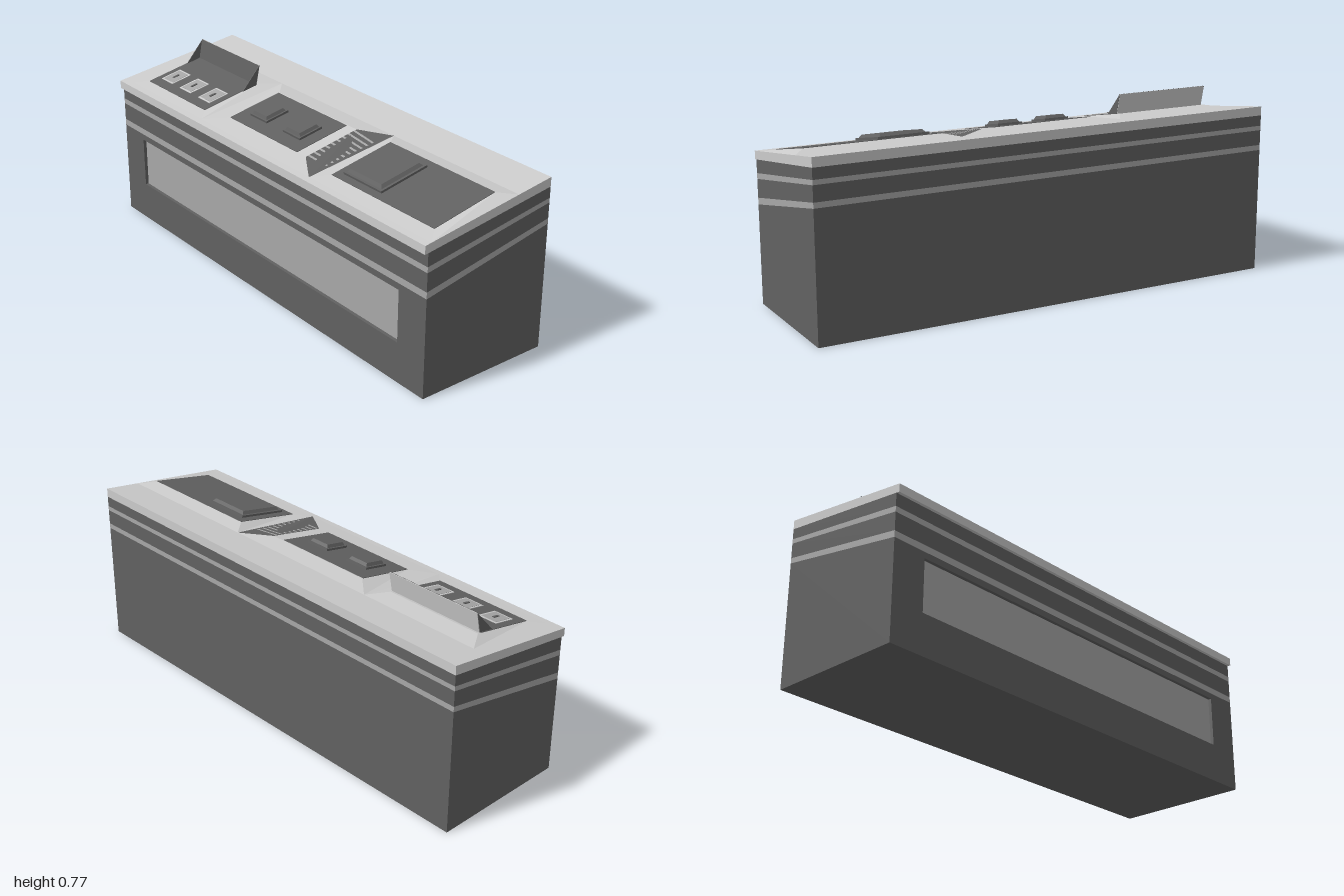
import * as THREE from 'three';

const make = (color) => new THREE.MeshStandardMaterial({ color, flatShading: true, side: THREE.DoubleSide });
const light = make(0xcccccc), mid = make(0xa7a7a7), dark = make(0x616161);

const TILT = Math.atan(0.2);
const slabY = (x) => 0.661 + 0.147 * x; // worktop surface
const deckY = (x) => 0.674 + 0.2 * x;   // steeper surface of the raised decks

function add(parent, name, geometry, material) {
  const mesh = new THREE.Mesh(geometry, material);
  mesh.name = name;
  parent.add(mesh);
  return mesh;
}

// Extrude an x-y outline from z0 to z1
function prism(parent, name, outline, z0, z1, material) {
  const shape = new THREE.Shape(outline.map(([x, y]) => new THREE.Vector2(x, y)));
  const geometry = new THREE.ExtrudeGeometry(shape, { depth: z1 - z0, bevelEnabled: false });
  geometry.translate(0, 0, z0);
  return add(parent, name, geometry, material);
}

// Four corners, anticlockwise from the visible side
function quad(parent, name, corners, material) {
  const geometry = new THREE.BufferGeometry();
  geometry.setAttribute('position', new THREE.Float32BufferAttribute(corners.flat(), 3));
  geometry.setIndex([0, 1, 2, 0, 2, 3]);
  geometry.computeVertexNormals();
  return add(parent, name, geometry, material);
}

// Raised deck: tilted top with skirts running down to the worktop
function deck(parent, name, base, top, frontMaterial = light) {
  const ring = ([x0, x1, z0, z1], h) =>
    [[x0, z1], [x1, z1], [x1, z0], [x0, z0]].map(([x, z]) => [x, h(x), z]);
  const low = ring(base, slabY), high = ring(top, deckY);
  quad(parent, name + 'Top', high, light);
  for (let i = 0; i < 4; i++) {
    const j = (i + 1) % 4;
    quad(parent, name + 'Skirt', [low[i], low[j], high[j], high[i]], i === 0 ? frontMaterial : light);
  }
}

// Box lying on the tilted deck, given by its plan extents and heights
function pad(parent, name, [x0, x1, z0, z1], h0, h1, material) {
  const k = 1 / Math.cos(TILT);
  const geometry = new THREE.BoxGeometry((x1 - x0) * k, h1 - h0, z1 - z0);
  const mesh = add(parent, name, geometry, material);
  mesh.position.set((x0 + x1) / 2 * k, (h0 + h1) / 2, (z0 + z1) / 2);
  return mesh;
}

// Stepped square block with a bevelled upper tier
function steppedBlock(parent, name, [x0, x1, z0, z1], inset) {
  pad(parent, name + 'Base', [x0, x1, z0, z1], 0, 0.011, dark);
  const upper = pad(parent, name + 'Top',
    [x0 + inset / 2, x1 - inset / 2, z0 + inset / 2, z1 - inset / 2], 0.011, 0.023, dark);
  const p = upper.geometry.attributes.position;
  for (let i = 0; i < p.count; i++) {
    if (p.getY(i) > 0) {
      p.setX(i, p.getX(i) - Math.sign(p.getX(i)) * inset / 2);
      p.setZ(i, p.getZ(i) - Math.sign(p.getZ(i)) * inset / 2);
    }
  }
  upper.geometry.computeVertexNormals();
}

export function createModel() {
  const model = new THREE.Group();
  model.name = 'controlCounter';

  // Cabinet: lower body with a long recess in one side
  const L = -0.285, R = 0.3, D = L + 0.016;
  const plain = [[L, 0], [R, 0], [R, 0.519], [L, 0.406]];
  const notched = [[L, 0], [R, 0], [R, 0.519], [L, 0.406], [L, 0.38], [D, 0.38], [D, 0.165], [L, 0.165]];
  prism(model, 'lowerBodyBack', plain, -1, -0.855, dark);
  prism(model, 'lowerBodyMiddle', notched, -0.855, 0.855, dark);
  prism(model, 'lowerBodyFront', plain, 0.855, 1, dark);
  quad(model, 'recessPanel',
    [[D - 0.002, 0.165, -0.855], [D - 0.002, 0.165, 0.855], [D - 0.002, 0.38, 0.855], [D - 0.002, 0.38, -0.855]], mid);

  // Sloping bands: left and right heights of each boundary
  const levels = [[0.406, 0.519], [0.433, 0.541], [0.508, 0.604], [0.531, 0.623], [0.585, 0.667]];
  for (let i = 0; i < 4; i++) {
    const [a, b] = levels[i], [c, d] = levels[i + 1];
    prism(model, i % 2 ? 'upperBody' : 'stripe', [[L, a], [R, b], [R, d], [L, c]], -1, 1, i % 2 ? dark : mid);
  }

  // Sloping worktop with a small overhang
  prism(model, 'worktop', [[-0.3, 0.583], [L, 0.585], [R, 0.667], [R, 0.705], [-0.3, 0.617]], -1, 1, light);

  // Raised decks
  deck(model, 'frontDeck', [-0.275, 0.14, 0.325, 1], [-0.21, 0.075, 0.38, 0.945]);
  deck(model, 'middleDeck', [-0.275, 0.14, -0.4, 0.325], [-0.19, 0.06, -0.31, 0.195], dark);
  deck(model, 'backDeck', [-0.275, 0.14, -0.94, -0.4], [-0.22, 0.055, -0.885, -0.455]);

  // Grille bars on the front slope of the middle deck
  for (let i = 0; i < 9; i++) {
    const x = -0.178 + i * 0.028, w = 0.005, lift = 0.002;
    const at = (px, t) => [px, THREE.MathUtils.lerp(slabY(px), deckY(px), t) + lift, 0.325 - 0.13 * t];
    quad(model, 'grilleBar', [at(x - w, 0.1), at(x + w, 0.1), at(x + w, 0.98), at(x - w, 0.98)], mid);
  }

  // Everything lying on the tilted deck surface
  const panel = new THREE.Group();
  panel.name = 'controls';
  panel.position.y = deckY(0);
  panel.rotation.z = TILT;
  model.add(panel);

  pad(panel, 'frontPlate', [-0.21, 0.075, 0.38, 0.945], -0.002, 0.002, dark);
  steppedBlock(panel, 'largeBlock', [-0.18, 0.04, 0.415, 0.63], 0.02);

  pad(panel, 'middlePlate', [-0.19, 0.055, -0.31, 0.14], -0.002, 0.002, dark);
  for (const z of [-0.195, 0.025]) {
    steppedBlock(panel, 'smallBlock', [-0.13, -0.02, z - 0.055, z + 0.055], 0.014);
  }

  // Switch console with three framed cells
  pad(panel, 'consolePlate', [-0.22, 0.04, -0.885, -0.455], -0.002, 0.002, dark);
  for (const z of [-0.812, -0.67, -0.527]) {
    pad(panel, 'cellFrame', [-0.176, -0.08, z - 0.043, z + 0.043], 0, 0.004, light);
    pad(panel, 'cellFace', [-0.168, -0.088, z - 0.035, z + 0.035], 0, 0.005, mid);
    pad(panel, 'cellSlot', [-0.143, -0.113, z - 0.005, z + 0.005], 0, 0.008, dark);
  }

  // Upright flap with triangular cheeks
  const tip = [0.059, 0.767], foot = [0.04, 0.681], toe = [-0.03, 0.667];
  const back = [[...foot], [foot[0] + 0.003, foot[1]], [tip[0] + 0.001, tip[1]], [tip[0] - 0.002, tip[1]]];
  prism(model, 'flap', back, -0.88, -0.45, light);
  quad(model, 'flapInside', [[foot[0] - 0.002, foot[1], -0.88], [foot[0] - 0.002, foot[1], -0.45],
    [tip[0] - 0.004, tip[1], -0.45], [tip[0] - 0.004, tip[1], -0.88]], dark);
  for (const z of [-0.882, -0.452]) prism(model, 'flapCheek', [toe, foot, tip], z, z + 0.003, dark);

  return model;
}
